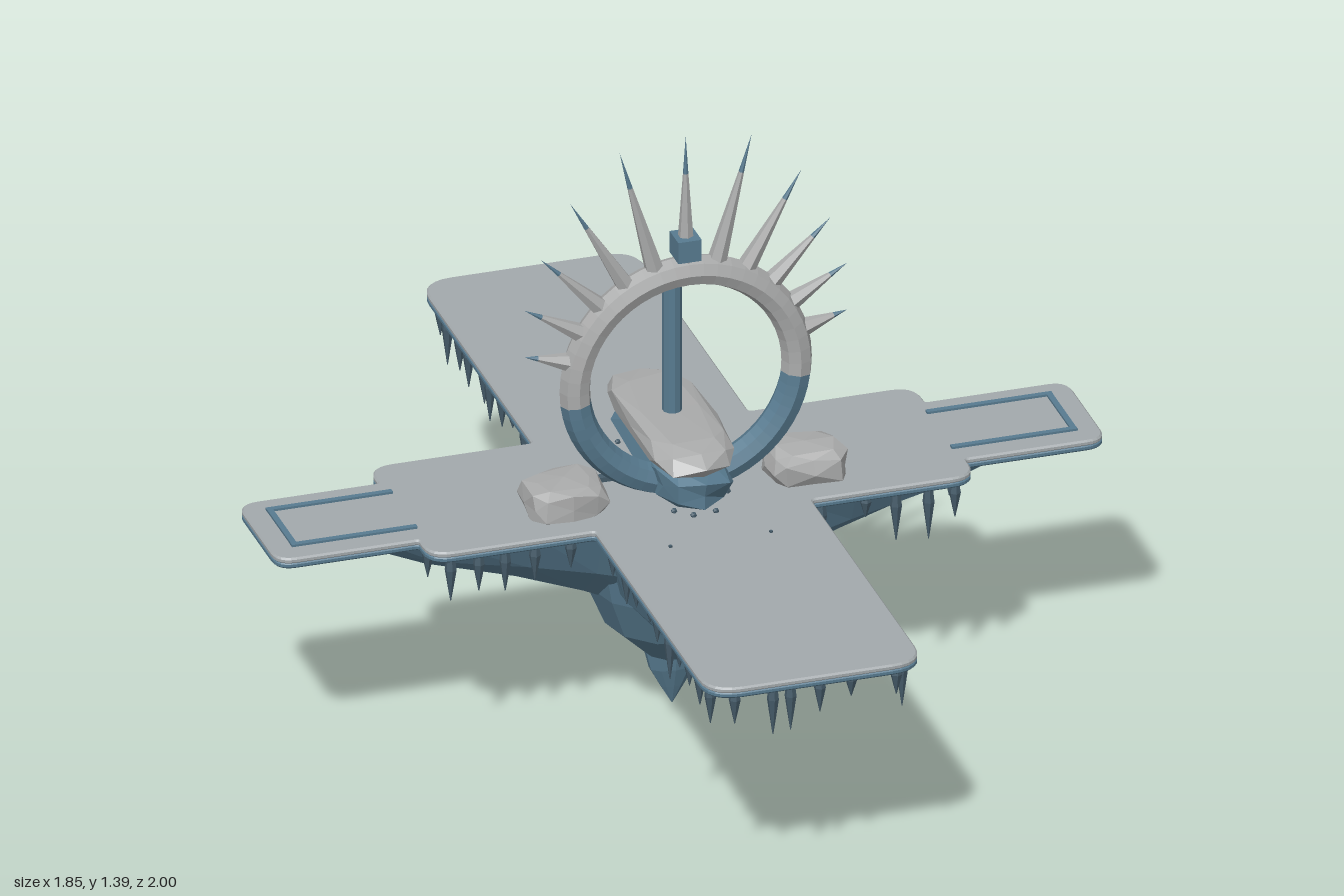
import * as THREE from 'three';

const mat = (name, color) => {
  const m = new THREE.MeshStandardMaterial({ color });
  m.name = name;
  return m;
};

// Hard facets for the low-poly parts
const facet = (g) => {
  const f = g.index ? g.toNonIndexed() : g;
  f.computeVertexNormals();
  return f;
};

// Polygon outline with every corner rounded
function roundedShape(pts, r) {
  const s = new THREE.Shape();
  pts.forEach(([x, y, rad = r], i) => {
    const p = new THREE.Vector2(x, y);
    const toward = (q) => new THREE.Vector2(q[0], q[1]).sub(p).setLength(rad).add(p);
    const a = toward(pts[(i + pts.length - 1) % pts.length]);
    const b = toward(pts[(i + 1) % pts.length]);
    if (i) s.lineTo(a.x, a.y); else s.moveTo(a.x, a.y);
    s.quadraticCurveTo(x, y, b.x, b.y);
  });
  s.closePath();
  return s;
}

// Keel under one arm: stations of [distance, half width, keel height]
function keelGeometry(stations, top) {
  const pos = [], idx = [], n = 6;
  for (const [d, w, k] of stations) {
    const mid = top + (k - top) * 0.6;
    [[-w, top], [-0.74 * w, mid], [-0.22 * w, k], [0.22 * w, k], [0.74 * w, mid], [w, top]]
      .forEach(([x, y]) => pos.push(x, y, d));
  }
  for (let i = 0; i < stations.length - 1; i++) {
    for (let j = 0; j < n - 1; j++) {
      const a = i * n + j, b = a + 1, c = b + n, d = a + n;
      idx.push(a, b, c, a, c, d);
    }
  }
  const g = new THREE.BufferGeometry();
  g.setAttribute('position', new THREE.Float32BufferAttribute(pos, 3));
  g.setIndex(idx);
  return facet(g);
}

// Boxy faceted boulder, roughened by a rule based on position
function rockGeometry(rx, ry, rz, seed) {
  const g = new THREE.IcosahedronGeometry(1, 1);
  const p = g.attributes.position, v = new THREE.Vector3();
  const box = (c) => Math.sign(c) * Math.pow(Math.abs(c), 0.6);
  for (let i = 0; i < p.count; i++) {
    v.fromBufferAttribute(p, i);
    const k = 0.94 + 0.07 * Math.sin(v.x * 5.1 + v.y * 7.3 + v.z * 3.7 + seed);
    p.setXYZ(i, box(v.x) * rx * k, box(v.y) * ry * k, box(v.z) * rz * k);
  }
  return facet(g);
}

export function createModel() {
  const model = new THREE.Group();
  model.name = 'floatingPlatform';
  const stone = mat('pale stone', 0xa3a9ac);
  const frost = mat('snow grey', 0xaaabab);
  const blue = mat('ice blue', 0x587b90);
  const iron = mat('dark slate', 0x465c6a);

  const add = (name, geo, material, x = 0, y = 0, z = 0, parent = model) => {
    const m = new THREE.Mesh(geo, material);
    m.name = name;
    m.position.set(x, y, z);
    parent.add(m);
    return m;
  };

  let seed = 7;
  const rand = () => (seed = (seed * 16807) % 2147483647) / 2147483647;

  // Cross-shaped deck with narrower side tips
  const quarter = [[0.92, 0.135, 0.04], [0.605, 0.135, 0.012], [0.605, 0.212, 0.05],
    [0.237, 0.212, 0.015], [0.237, 0.995, 0.07]];
  const flip = (sx, sy) => quarter.map(([x, y, r]) => [x * sx, y * sy, r]);
  const outline = [...flip(1, 1), ...flip(-1, 1).reverse(), ...flip(-1, -1), ...flip(1, -1).reverse()];
  const deck = (depth) => new THREE.ExtrudeGeometry(roundedShape(outline, 0.05), {
    depth, bevelThickness: 0.004, bevelSize: 0.004, bevelSegments: 1, curveSegments: 6,
  }).rotateX(-Math.PI / 2);
  add('deckBase', deck(0.006), blue, 0, 0.532, 0);
  add('deckTop', deck(0.006), stone, 0, 0.543, 0);

  // Inset borders on the side tips
  for (const s of [-1, 1]) {
    for (const z of [-0.088, 0.082]) {
      add('tipBorder', new THREE.BoxGeometry(0.28, 0.006, 0.013), blue, s * 0.735, 0.555, z);
    }
    add('tipBorder', new THREE.BoxGeometry(0.013, 0.006, 0.183), blue, s * 0.868, 0.555, -0.003);
  }

  // Faceted core and the four keels
  const core = [[0.001, 0.125], [0.065, 0.135], [0.15, 0.215], [0.19, 0.31], [0.21, 0.4], [0.215, 0.535]]
    .map(([r, y]) => new THREE.Vector2(r, y));
  add('core', facet(new THREE.LatheGeometry(core, 12)), blue);
  const longKeel = keelGeometry([[0.04, 0.2, 0.19], [0.16, 0.21, 0.22], [0.43, 0.195, 0.28],
    [0.75, 0.175, 0.417], [0.85, 0.15, 0.534]], 0.535);
  const shortKeel = keelGeometry([[0.04, 0.19, 0.24], [0.21, 0.18, 0.32], [0.36, 0.165, 0.377],
    [0.56, 0.14, 0.436], [0.66, 0.12, 0.482], [0.8, 0.1, 0.534]], 0.535);
  for (let i = 0; i < 4; i++) {
    add('keel', i % 2 ? shortKeel : longKeel, blue).rotation.y = i * Math.PI / 2;
  }

  // Pointed tip, flattened front to back
  const tip = [[0.001, 0.002], [0.027, 0.045], [0.052, 0.09], [0.066, 0.145]]
    .map(([r, y]) => new THREE.Vector2(r, y));
  add('bottomSpike', facet(new THREE.LatheGeometry(tip, 10)), blue).scale.z = 0.52;

  // Icicles along the deck edges
  const icicle = facet(new THREE.LatheGeometry(
    [[0.001, -1], [0.008, -0.6], [0.013, -0.3], [0.009, 0]].map(([r, y]) => new THREE.Vector2(r, y)), 6));
  const icicles = new THREE.Group();
  icicles.name = 'icicles';
  model.add(icicles);
  const hang = (x0, z0, x1, z1, n) => {
    for (let i = 0; i < n; i++) {
      const t = (i + 0.2 + 0.6 * rand()) / n;
      const m = add('icicle', icicle, iron, x0 + (x1 - x0) * t, 0.533, z0 + (z1 - z0) * t, icicles);
      m.scale.y = 0.05 + 0.08 * rand();
    }
  };
  for (const s of [-1, 1]) {
    hang(-0.2, s * 0.965, 0.2, s * 0.965, 6);
    for (const q of [-1, 1]) {
      hang(s * 0.215, q * 0.24, s * 0.215, q * 0.97, 10);
      hang(s * 0.25, q * 0.195, s * 0.59, q * 0.195, 5);
    }
    hang(s * 0.585, -0.18, s * 0.585, 0.18, 3);
  }

  // Upright ring: frosted above, bare below
  const halo = new THREE.Group();
  halo.name = 'halo';
  halo.position.set(0, 0.83, 0.094);
  model.add(halo);
  const dip = 0.12;
  const ringArc = (arc) => facet(new THREE.TorusGeometry(0.247, 0.034, 8, 28, arc));
  add('ringUpper', ringArc(Math.PI + 2 * dip), frost, 0, 0, 0, halo).rotation.z = -dip;
  add('ringLower', ringArc(Math.PI - 2 * dip), blue, 0, 0, 0, halo).rotation.z = Math.PI + dip;
  add('ringClasp', new THREE.BoxGeometry(0.052, 0.05, 0.06), blue, 0, 0.305, 0, halo);

  // Sun-ray spikes, longest at the top
  const reach = [0.372, 0.415, 0.455, 0.515, 0.568, 0.567];
  for (let i = 0; i < 11; i++) {
    const end = reach[Math.min(i, 10 - i)], start = 0.27, len = end - start;
    const spike = new THREE.Group();
    spike.name = 'spike';
    spike.rotation.z = (i + 1) * Math.PI / 12 - Math.PI / 2;
    halo.add(spike);
    add('spikeBody', facet(new THREE.CylinderGeometry(0.006, 0.021, len * 0.7, 6, 1, true)), frost, 0, start + len * 0.35, 0, spike);
    add('spikeTip', facet(new THREE.ConeGeometry(0.006, len * 0.3, 6, 1, true)), blue, 0, start + len * 0.85, 0, spike);
  }

  // Central post and altar stones
  add('post', facet(new THREE.CylinderGeometry(0.021, 0.021, 0.47, 10)), blue, 0, 0.783, 0);
  add('altarBase', rockGeometry(0.088, 0.048, 0.26, 1), blue, 0, 0.602, 0);
  add('altarCap', rockGeometry(0.102, 0.034, 0.255, 3), frost, 0, 0.67, -0.008);

  // Side boulders
  add('boulder', rockGeometry(0.095, 0.05, 0.08, 2), frost, -0.27, 0.578, 0.088);
  add('boulder', rockGeometry(0.095, 0.05, 0.082, 5), frost, 0.267, 0.578, 0.084);

  // Low rail across the deck with small shards
  add('rail', new THREE.BoxGeometry(0.56, 0.012, 0.018), iron, 0, 0.558, -0.003);
  for (const s of [-1, 1]) {
    add('shard', facet(new THREE.ConeGeometry(0.018, 0.03, 4)), iron, s * 0.225, 0.566, -0.015);
    for (const z of [-0.335, 0.335]) {
      add('stud', new THREE.CylinderGeometry(0.004, 0.004, 0.004, 6), iron, s * 0.112, 0.555, z);
    }
  }

  // Pebbles around the altar
  for (let i = 0; i < 12; i++) {
    const a = i * Math.PI / 6 + 0.3 * rand();
    add('pebble', facet(new THREE.IcosahedronGeometry(0.006 + 0.004 * rand(), 0)), iron,
      Math.cos(a) * 0.1, 0.556, Math.sin(a) * 0.22);
  }
  return model;
}
